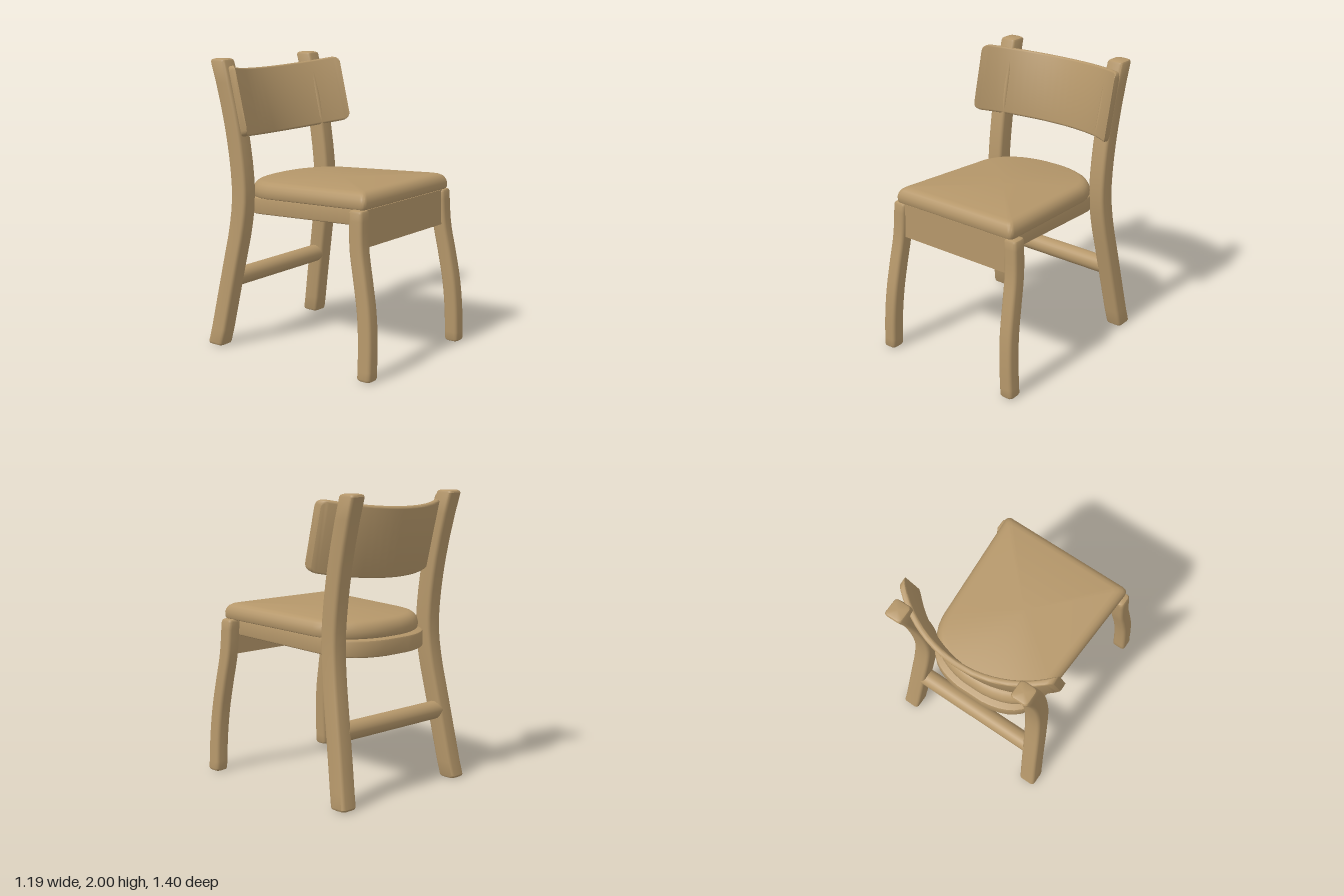
import * as THREE from 'three';
import { toCreasedNormals } from 'three/addons/utils/BufferGeometryUtils.js';

const V = (x, y, z) => new THREE.Vector3(x, y, z);

// Rounded rectangle as [u, v] points, centred on the origin
function roundedRect(w, d, r, steps = 3) {
  const pts = [];
  for (let c = 0; c < 4; c++) {
    const su = c === 0 || c === 3 ? 1 : -1, sv = c < 2 ? 1 : -1;
    for (let i = 0; i <= steps; i++) {
      const a = (c + i / steps) * Math.PI / 2;
      pts.push([su * (w / 2 - r) + r * Math.cos(a), sv * (d / 2 - r) + r * Math.sin(a)]);
    }
  }
  return pts;
}

// Closed skin over rings of equal point count, capped at both ends
function loft(rings) {
  const n = rings[0].length, pts = rings.flat(), index = [];
  for (let i = 0; i < rings.length - 1; i++) {
    for (let j = 0; j < n; j++) {
      const a = i * n + j, b = i * n + (j + 1) % n;
      index.push(a, a + n, b, b, a + n, b + n);
    }
  }
  [0, rings.length - 1].forEach((k, end) => {
    const centre = rings[k].reduce((s, p) => s.add(p), V(0, 0, 0)).divideScalar(n);
    const o = pts.push(centre) - 1;
    for (let j = 0; j < n; j++) {
      const a = k * n + j, b = k * n + (j + 1) % n;
      if (end) index.push(o, b, a); else index.push(o, a, b);
    }
  });
  const g = new THREE.BufferGeometry().setFromPoints(pts);
  g.setIndex(index);
  return toCreasedNormals(g, 0.58);
}

// Bent leg of rounded square section through the given centres
function legGeometry(centres, w, d, side) {
  const curve = new THREE.CatmullRomCurve3(centres.map(p => V(p[0] * side, p[1], p[2])));
  const rings = [], N = 18;
  const ring = (p, inset, dy) => roundedRect(w - 2 * inset, d - 2 * inset, 0.022)
    .map(([u, v]) => V(p.x + u, p.y + dy, p.z + v));
  for (let i = 0; i <= N; i++) {
    const p = curve.getPoint(i / N);
    if (i === 0) rings.push(ring(p, 0.016, 0), ring(p, 0.005, 0.006), ring(p, 0, 0.018));
    else if (i === N) rings.push(ring(p, 0, -0.018), ring(p, 0.005, -0.006), ring(p, 0.016, 0));
    else rings.push(ring(p, 0, 0));
  }
  return loft(rings);
}

// Seat plan: nearly square front, tapering sides, rounded back
function seatPlan(front, back, wFront, wBack, rBack) {
  const s = new THREE.Shape(), r = 0.035, zc = back + rBack;
  const k = 0.45 * rBack;
  s.moveTo(wFront, front - r);
  s.quadraticCurveTo(wFront, front, wFront - r, front);
  s.lineTo(-wFront + r, front);
  s.quadraticCurveTo(-wFront, front, -wFront, front - r);
  s.lineTo(-wBack, zc);
  s.bezierCurveTo(-wBack + 0.02, zc - 0.6 * rBack, -wBack + rBack - k, back + 0.02, -wBack + rBack + 0.08, back);
  s.lineTo(wBack - rBack - 0.08, back);
  s.bezierCurveTo(wBack - rBack + k, back + 0.02, wBack - 0.02, zc - 0.6 * rBack, wBack, zc);
  s.closePath();
  const pts = s.getPoints(8);
  if (pts[0].distanceTo(pts[pts.length - 1]) < 1e-5) pts.pop();
  return pts;
}

// Slab from a plan and a [height, inset] profile, sloping down to the back
function slab(plan, profile) {
  return loft(profile.map(([y, inset]) => plan.map(p => {
    const z = p.y * (1 - inset / 0.58);
    return V(p.x * (1 - inset / 0.48), y + 0.04 * (z - 0.6), z);
  })));
}

// Curved back panel: sections along x, following an arc
function backrestGeometry() {
  const half = 0.57, sag = 0.245, height = 0.475, thick = 0.04, corner = 0.035;
  const R = (half * half + sag * sag) / (2 * sag), xs = [];
  const inner = half - corner, aMax = Math.asin(inner / R);
  const ends = [0.3, 0.65, 0.9, 1].map(t => inner + corner * t);
  ends.slice().reverse().forEach(x => xs.push(-x));
  for (let i = 0; i <= 20; i++) xs.push(R * Math.sin(aMax * (i / 10 - 1)));
  xs.push(...ends);
  return loft(xs.map(x => {
    const drop = Math.max(0, Math.abs(x) - inner);
    const h = height - 2 * (corner - Math.sqrt(Math.max(0, corner * corner - drop * drop)));
    const depth = Math.sqrt(R * R - x * x);
    return roundedRect(thick * R / depth, h, 0.014).map(([u, v]) => V(x, v, R - depth + u));
  }));
}

export function createModel() {
  const chair = new THREE.Group();
  chair.name = 'chair';
  const wood = new THREE.MeshStandardMaterial({ color: 0xb5976a });
  const add = (name, geometry, x = 0, y = 0, z = 0) => {
    const m = new THREE.Mesh(geometry, wood);
    m.name = name;
    m.position.set(x, y, z);
    chair.add(m);
    return m;
  };

  // Legs, mirrored left and right; the back pair rises to hold the backrest
  const frontPath = [[0.53, 0, 0.65], [0.519, 0.25, 0.647], [0.51, 0.45, 0.63], [0.502, 0.65, 0.595],
    [0.492, 0.85, 0.558], [0.48, 1.1, 0.545]];
  const backPath = [[0.535, 0, -0.625], [0.51, 0.3, -0.572], [0.487, 0.6, -0.517], [0.467, 0.85, -0.473],
    [0.456, 1.06, -0.455], [0.453, 1.3, -0.472], [0.455, 1.6, -0.522], [0.461, 2, -0.622]];
  for (const [label, side] of [['Left', 1], ['Right', -1]]) {
    add('front' + label + 'Leg', legGeometry(frontPath, 0.1, 0.105, side));
    add('back' + label + 'Leg', legGeometry(backPath, 0.122, 0.128, side));
  }

  // Seat frame and cushion
  add('seatFrame', slab(seatPlan(0.55, -0.6, 0.44, 0.42, 0.24),
    [[0.985, 0.012], [0.99, 0.003], [1, 0], [1.085, 0], [1.095, 0.003], [1.1, 0.012]]));
  add('seatCushion', slab(seatPlan(0.6, -0.56, 0.5, 0.455, 0.3),
    [[1.1, 0.014], [1.104, 0.006], [1.115, 0.001], [1.145, 0], [1.17, 0.006], [1.193, 0.02], [1.207, 0.04], [1.214, 0.065]]));

  // Front rail between the front legs
  add('frontRail', new THREE.BoxGeometry(0.89, 0.245, 0.06), 0, 0.973, 0.552);

  // Round stretcher between the back legs
  const stretcher = add('backStretcher', new THREE.CylinderGeometry(0.063, 0.063, 0.92, 28), 0, 0.48, -0.54);
  stretcher.rotation.z = Math.PI / 2;

  // Backrest, leaning back
  const backrest = add('backrest', backrestGeometry(), 0, 1.68, -0.625);
  backrest.rotation.x = -0.235;
  return chair;
}
